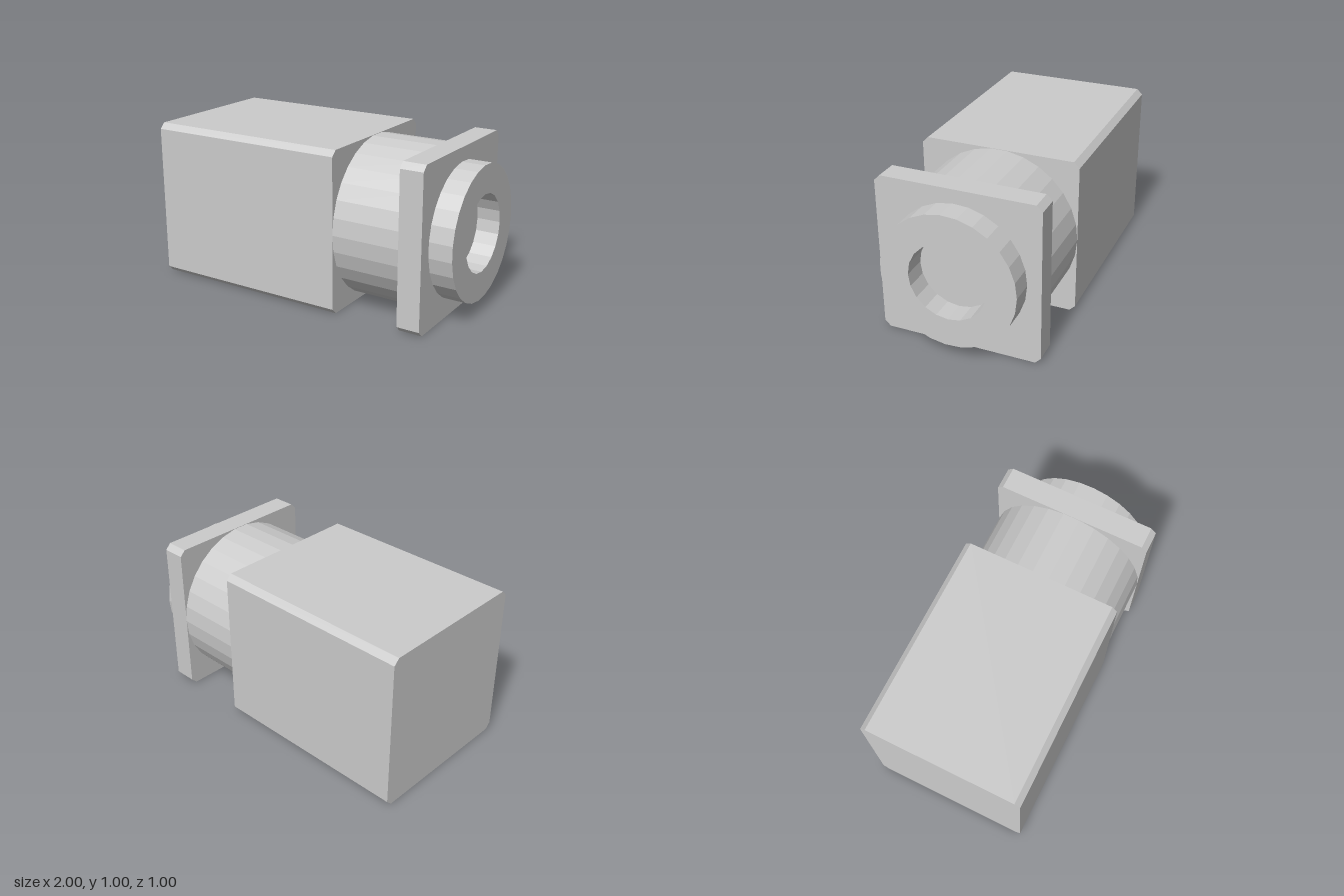
import * as THREE from 'three';

const material = new THREE.MeshStandardMaterial({ color: 0xcccccc, flatShading: true });

// Regular polygon outline with a corner at angle zero
function polygon(radius, sides, PathType = THREE.Shape) {
  const points = [];
  for (let i = 0; i < sides; i++) {
    const a = (i / sides) * Math.PI * 2;
    points.push(new THREE.Vector2(radius * Math.cos(a), radius * Math.sin(a)));
  }
  return new PathType(points);
}

// Square outline with cut corners
function cutSquare(half, cut) {
  const c = half - cut;
  return new THREE.Shape([
    [half, -c], [half, c], [c, half], [-c, half],
    [-half, c], [-half, -c], [-c, -half], [c, -half],
  ].map(([x, y]) => new THREE.Vector2(x, y)));
}

// Extrude an outline along x between two positions, on the shared axis
function prism(name, shape, x0, x1) {
  const geometry = new THREE.ExtrudeGeometry(shape, { depth: x1 - x0, bevelEnabled: false });
  geometry.rotateY(Math.PI / 2);
  const mesh = new THREE.Mesh(geometry, material);
  mesh.name = name;
  mesh.position.set(x0, 0.5, 0);
  return mesh;
}

export function createModel() {
  const group = new THREE.Group();
  group.name = 'model';

  // Open ring around the recess at the end
  const ring = polygon(0.415, 27);
  ring.holes.push(polygon(0.238, 20, THREE.Path));

  group.add(
    prism('body', cutSquare(0.5, 0.035), -1, 0.284),
    prism('neck', polygon(0.5, 30), 0.284, 0.713),
    prism('flange', cutSquare(0.5, 0.035), 0.713, 0.856),
    prism('endRing', ring, 0.856, 1),
  );
  return group;
}
